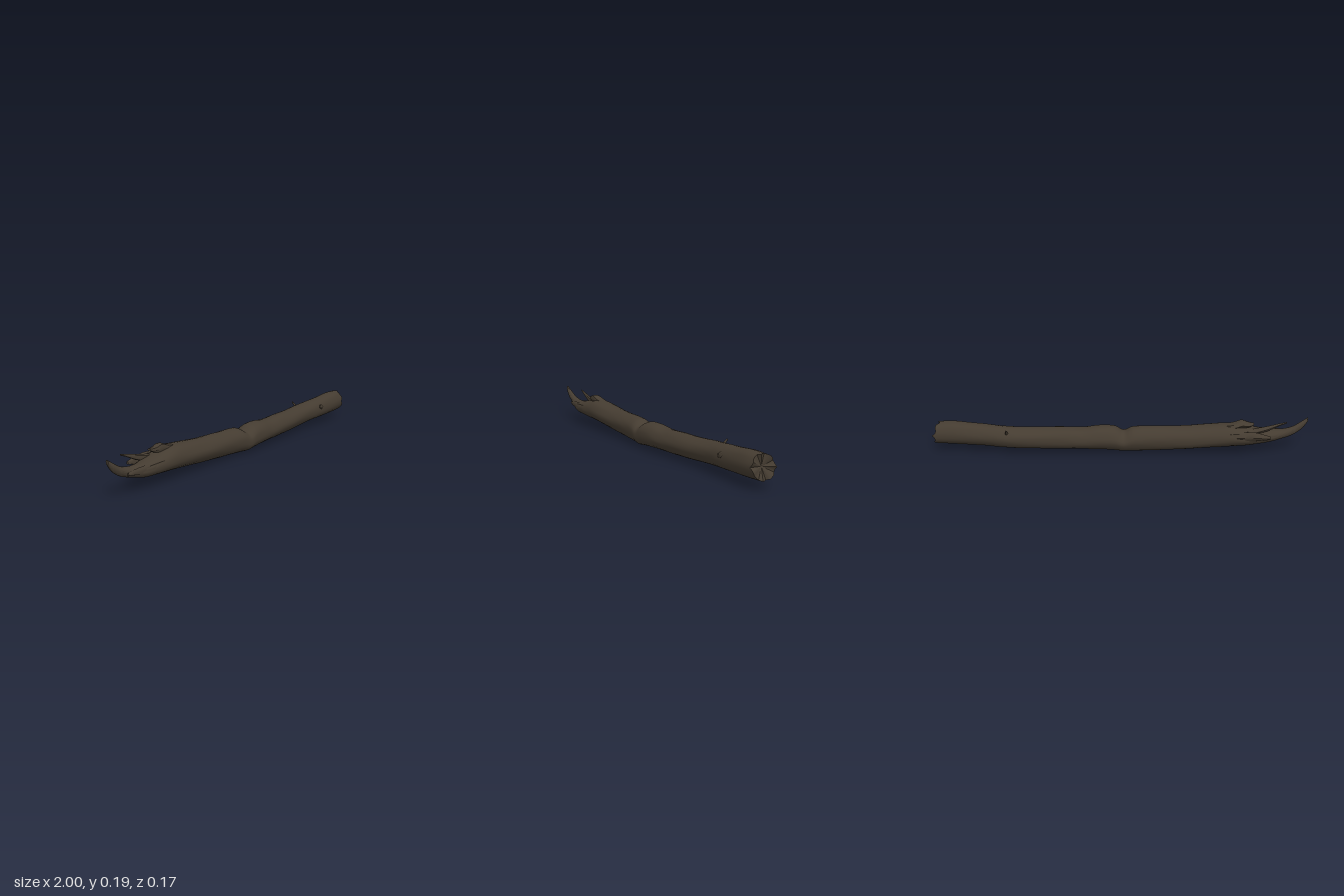
import * as THREE from 'three';
import { toCreasedNormals } from 'three/addons/utils/BufferGeometryUtils.js';

// Lofts rounded cross-sections along x. Each station: [x, bottom, top, back z, front z].
function loft(stations, { sides = 28, steps = 6, rough = 0.03, endShift = null } = {}) {
  const centre = new THREE.CatmullRomCurve3(
    stations.map(([x, b, t, k, f]) => new THREE.Vector3(x, (b + t) / 2, (k + f) / 2)), false, 'catmullrom');
  const extent = new THREE.CatmullRomCurve3(
    stations.map(([, b, t, k, f]) => new THREE.Vector3(0, (t - b) / 2, (f - k) / 2)), false, 'catmullrom');
  const rings = (stations.length - 1) * steps;
  const pos = [], index = [];
  for (let i = 0; i <= rings; i++) {
    const c = centre.getPoint(i / rings), e = extent.getPoint(i / rings);
    for (let j = 0; j < sides; j++) {
      const a = (j / sides) * Math.PI * 2;
      // Bark ridges running along the wood, with a slow twist
      const r = 1 - rough * (0.5 + 0.5 * Math.sin(5 * a + c.x * 9)) -
        rough * 0.6 * (0.5 + 0.5 * Math.sin(9 * a - c.x * 23 + 2 * Math.sin(c.x * 14)));
      const shift = endShift ? endShift(a, c.x) : 0;
      pos.push(c.x + shift, c.y + e.y * r * Math.cos(a), c.z + e.z * r * Math.sin(a));
    }
  }
  for (let i = 0; i < rings; i++) {
    for (let j = 0; j < sides; j++) {
      const p = i * sides + j, q = i * sides + (j + 1) % sides;
      index.push(p, q, p + sides, q, q + sides, p + sides);
    }
  }
  // End caps
  [0, rings].forEach((ring) => {
    const c = centre.getPoint(ring / rings), id = pos.length / 3, s = ring * sides;
    pos.push(c.x - (ring && endShift ? 0.012 : 0), c.y, c.z);
    for (let j = 0; j < sides; j++) {
      const p = s + j, q = s + (j + 1) % sides;
      if (ring) index.push(id, p, q);
      else index.push(id, q, p);
    }
  });
  const g = new THREE.BufferGeometry();
  g.setAttribute('position', new THREE.Float32BufferAttribute(pos, 3));
  g.setIndex(index);
  return toCreasedNormals(g, 0.7);
}

export function createModel() {
  const bark = new THREE.MeshStandardMaterial({ color: 0x453c31 });
  bark.name = 'dark bark';
  const group = new THREE.Group();
  group.name = 'brokenBranch';
  const add = (name, geometry) => {
    const m = new THREE.Mesh(geometry, bark);
    m.name = name;
    group.add(m);
    return m;
  };

  // Trunk of the branch, from the torn tongue to the snapped end
  add('branch', loft([
    [-1.0, 0.166, 0.19, 0.0, 0.016],
    [-0.97, 0.125, 0.17, -0.008, 0.02],
    [-0.92, 0.092, 0.14, -0.018, 0.022],
    [-0.86, 0.072, 0.125, -0.03, 0.035],
    [-0.8, 0.056, 0.125, -0.045, 0.054],
    [-0.73, 0.048, 0.135, -0.066, 0.062],
    [-0.66, 0.042, 0.148, -0.082, 0.067],
    [-0.58, 0.036, 0.162, -0.086, 0.068],
    [-0.47, 0.028, 0.155, -0.082, 0.069],
    [-0.36, 0.019, 0.146, -0.077, 0.067],
    [-0.25, 0.012, 0.143, -0.07, 0.067],
    [-0.15, 0.006, 0.141, -0.064, 0.07],
    [-0.07, 0.002, 0.136, -0.06, 0.076],
    [-0.02, 0.0, 0.114, -0.056, 0.081],
    [0.03, 0.004, 0.138, -0.057, 0.083],
    [0.11, 0.009, 0.141, -0.057, 0.082],
    [0.2, 0.012, 0.131, -0.057, 0.077],
    [0.31, 0.014, 0.135, -0.057, 0.071],
    [0.42, 0.017, 0.135, -0.06, 0.067],
    [0.52, 0.021, 0.138, -0.064, 0.06],
    [0.61, 0.026, 0.143, -0.063, 0.059],
    [0.7, 0.03, 0.15, -0.05, 0.066],
    [0.8, 0.034, 0.158, -0.044, 0.071],
    [0.89, 0.037, 0.166, -0.041, 0.074],
    [0.97, 0.042, 0.164, -0.039, 0.073],
  ], {
    // The snapped end is ragged: longest at the lower back
    endShift: (a, x) => Math.max(0, (x - 0.9) / 0.07) *
      (0.004 - 0.013 * Math.sin(a) - 0.008 * Math.cos(a) + 0.007 * Math.sin(7 * a) + 0.004 * Math.sin(11 * a)),
  }));

  const thin = { sides: 8, steps: 4, rough: 0.15 };

  // Torn splinters around the broken end
  add('backSplinter', loft([
    [-0.79, 0.098, 0.118, -0.088, -0.074],
    [-0.75, 0.088, 0.13, -0.089, -0.062],
    [-0.68, 0.078, 0.142, -0.088, -0.05],
    [-0.58, 0.08, 0.135, -0.082, -0.04],
  ], thin));
  add('upperSpike', loft([
    [-0.88, 0.172, 0.181, -0.036, -0.028],
    [-0.84, 0.155, 0.172, -0.039, -0.024],
    [-0.78, 0.125, 0.158, -0.045, -0.018],
    [-0.7, 0.1, 0.14, -0.05, -0.01],
  ], thin));
  add('barkFlap', loft([
    [-0.71, 0.155, 0.168, -0.03, -0.005],
    [-0.68, 0.14, 0.174, -0.042, 0.012],
    [-0.645, 0.135, 0.187, -0.045, 0.018],
    [-0.6, 0.13, 0.17, -0.05, 0.02],
    [-0.52, 0.125, 0.157, -0.04, 0.01],
  ], thin));
  add('frontSplinter', loft([
    [-0.9, 0.095, 0.108, 0.026, 0.036],
    [-0.85, 0.085, 0.118, 0.022, 0.046],
    [-0.77, 0.078, 0.122, 0.022, 0.056],
    [-0.64, 0.085, 0.125, 0.03, 0.064],
  ], thin));

  // Twig stub on the upper back
  const stub = add('twigStub', new THREE.CylinderGeometry(0.004, 0.009, 0.04, 7));
  stub.position.set(0.6, 0.13, -0.056);
  stub.rotation.x = -0.8;

  // Knots in the bark
  [[0.72, 0.11, 0.061], [-0.55, 0.12, 0.053]].forEach(([x, y, z]) => {
    const knot = add('knot', new THREE.TorusGeometry(0.011, 0.004, 6, 12));
    knot.position.set(x, y, z);
    knot.rotation.x = -0.4;
    knot.scale.x = 1.4;
  });

  return group;
}
